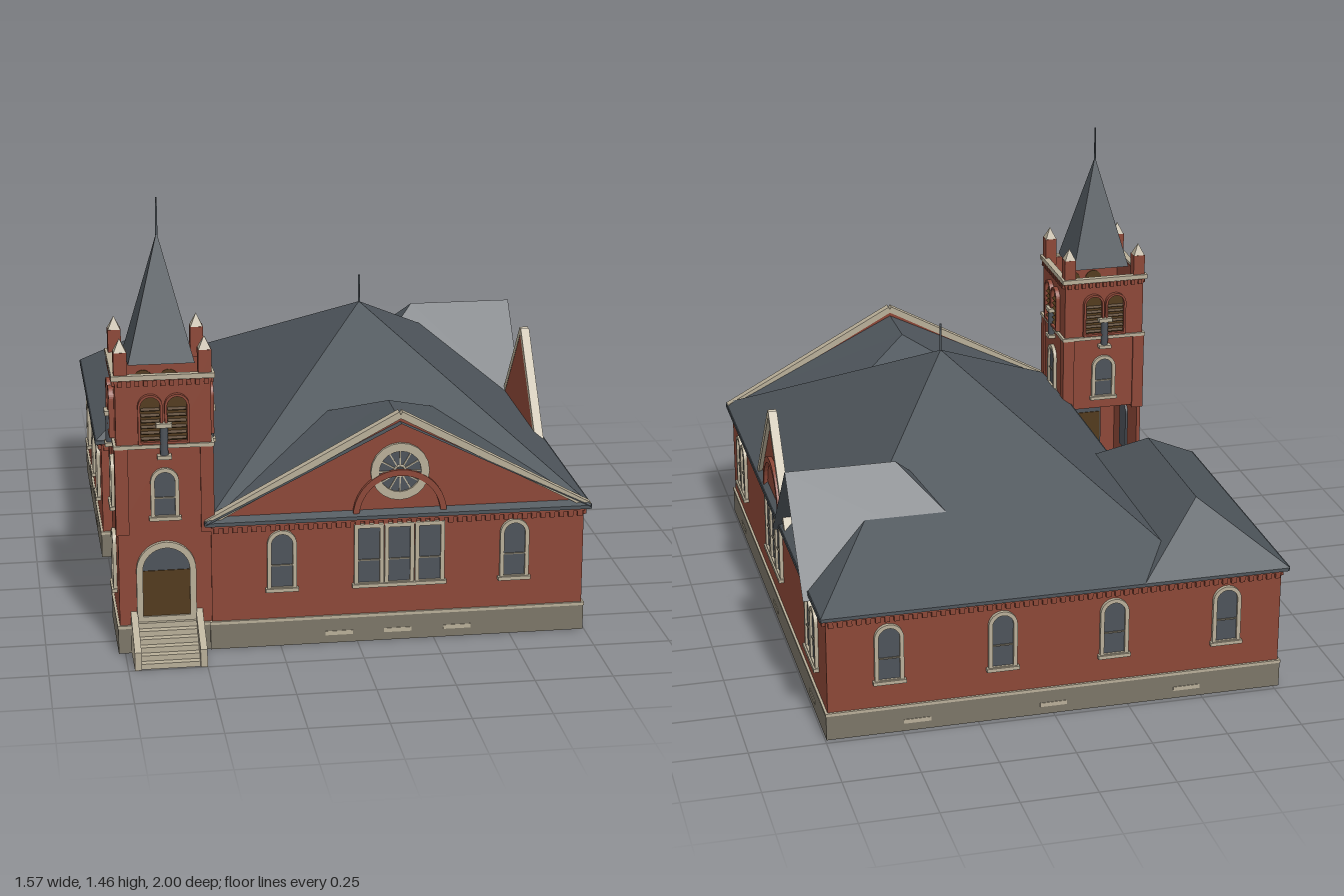
import * as THREE from 'three';
import { mergeGeometries } from 'three/addons/utils/BufferGeometryUtils.js';

const mat = (name, color, side = THREE.FrontSide) => {
  const m = new THREE.MeshStandardMaterial({ color, side });
  m.name = name;
  return m;
};
const M = {
  brick: mat('brick', 0x8c4737),
  roof: mat('slate roof', 0x4e555b, THREE.DoubleSide),
  trim: mat('limestone trim', 0xb8ae98),
  base: mat('foundation stone', 0x7b7567),
  glass: mat('window glass', 0x4d535a),
  wood: mat('door wood', 0x523a1c),
};
const add = (parent, name, geo, m) => {
  const mesh = new THREE.Mesh(geo, m);
  mesh.name = name;
  parent.add(mesh);
  return mesh;
};
const boxGeo = (w, h, d, x, y, z) => new THREE.BoxGeometry(w, h, d).translate(x, y, z);
const box = (p, name, m, w, h, d, x, y, z) => add(p, name, boxGeo(w, h, d, x, y, z), m);
const extrude = (shape, depth, z = 0) =>
  new THREE.ExtrudeGeometry(shape, { depth, bevelEnabled: false, curveSegments: 10 }).translate(0, 0, z);

// Outline of an opening: round or square head, standing on y = b
function opening(C, w, h, b = 0, round = true) {
  const s = new C(), r = w / 2;
  s.moveTo(-r, b);
  s.lineTo(r, b);
  if (round) {
    s.lineTo(r, h - r);
    s.absarc(0, h - r, r, 0, Math.PI, false);
  } else {
    s.lineTo(r, h);
    s.lineTo(-r, h);
  }
  s.closePath();
  return s;
}
function frameGeo(w, h, t, depth, round = true) {
  const s = opening(THREE.Shape, w, h, 0, round);
  s.holes.push(opening(THREE.Path, w - 2 * t, h - t, t, round));
  return extrude(s, depth);
}
// Window facing local +z, bottom centre at the origin
function windowUnit(w, h, round = true) {
  const g = new THREE.Group(), t = 0.013;
  g.name = 'window';
  add(g, 'windowFrame', frameGeo(w, h, t, 0.012, round), M.trim);
  add(g, 'windowGlass', extrude(opening(THREE.Shape, w - t, h - t / 2, t / 2, round), 0.026, -0.022), M.glass);
  box(g, 'windowRail', M.base, w - 2 * t, 0.005, 0.008, 0, h * 0.42, 0.004);
  box(g, 'windowSill', M.trim, w + 0.012, 0.012, 0.02, 0, 0.004, 0.008);
  return g;
}
const put = (p, g, x, y, z, ry) => {
  g.position.set(x, y, z);
  g.rotation.y = ry;
  p.add(g);
  return g;
};
// Flat polygons fanned into one surface
function surface(polys) {
  const v = [];
  for (const q of polys)
    for (let i = 1; i < q.length - 1; i++) v.push(...q[0], ...q[i], ...q[i + 1]);
  const g = new THREE.BufferGeometry();
  g.setAttribute('position', new THREE.Float32BufferAttribute(v, 3));
  g.computeVertexNormals();
  return g;
}
const X0 = -0.47, X1 = 0.74, Z0 = -0.975, Z1 = 0.855, WX = -0.765, WZ = -0.02, CX = 0.135;

// Straight wall facing local +z, running from a to b with the outside on its right
function wallRun(p, [ax, az], [bx, bz]) {
  const len = Math.hypot(bx - ax, bz - az);
  const g = new THREE.Group();
  g.name = 'wall';
  box(g, 'brickWall', M.brick, len, 0.43, 0.016, 0, 0.215, -0.008);
  box(g, 'foundation', M.base, len + 0.012, 0.085, 0.008, 0, 0.0425, 0.002);
  box(g, 'waterTable', M.trim, len + 0.016, 0.01, 0.012, 0, 0.089, 0.002);
  box(g, 'eaveGutter', M.roof, len + 0.036, 0.014, 0.024, 0, 0.429, 0.01);
  const teeth = [], n = Math.floor(len / 0.03);
  for (let i = 0; i < n; i++)
    teeth.push(boxGeo(0.016, 0.018, 0.012, ((i + 0.5) / n - 0.5) * len, 0.404, 0.005));
  teeth.push(boxGeo(len, 0.01, 0.014, 0, 0.418, 0.005));
  add(g, 'brickDentils', mergeGeometries(teeth), M.brick);
  return put(p, g, (ax + bx) / 2, 0, (az + bz) / 2, Math.atan2(-(bz - az), bx - ax));
}
// Triangular brick parapet with stone coping, facing local +z
function gable(p, half, rise) {
  const g = new THREE.Group();
  g.name = 'gable';
  const s = new THREE.Shape([new THREE.Vector2(-half, 0), new THREE.Vector2(half, 0), new THREE.Vector2(0, rise)]);
  add(g, 'gableWall', extrude(s, 0.016, -0.016), M.brick);
  for (const k of [-1, 1]) {
    const c = box(g, 'gableCoping', M.trim, Math.hypot(half, rise), 0.022, 0.03, 0, 0, 0);
    c.position.set(k * half / 2, rise / 2, -0.002);
    c.rotation.z = -k * Math.atan2(rise, half);
  }
  const arch = new THREE.Shape();
  arch.absarc(0, 0, 0.152, 0, Math.PI, false);
  arch.absarc(0, 0, 0.132, Math.PI, 0, true);
  add(g, 'reliefArch', extrude(arch, 0.014), M.brick);
  p.add(g);
  return g;
}
function roseWindow() {
  const g = new THREE.Group();
  g.name = 'roseWindow';
  const ring = new THREE.Shape().absarc(0, 0, 0.095, 0, Math.PI * 2, false);
  ring.holes.push(new THREE.Path().absarc(0, 0, 0.068, 0, Math.PI * 2, true));
  add(g, 'roseRing', extrude(ring, 0.011), M.trim);
  add(g, 'roseGlass', new THREE.CylinderGeometry(0.07, 0.07, 0.026, 24).rotateX(Math.PI / 2).translate(0, 0, -0.009), M.glass);
  for (let i = 0; i < 12; i++)
    add(g, 'roseSpoke', boxGeo(0.05, 0.004, 0.008, 0.042, 0, 0.004).rotateZ(i * Math.PI / 6), M.trim);
  add(g, 'roseHub', new THREE.TorusGeometry(0.018, 0.004, 6, 16).translate(0, 0, 0.004), M.trim);
  return g;
}
function door(w, h) {
  const g = new THREE.Group();
  g.name = 'door';
  add(g, 'doorFrame', frameGeo(w, h, 0.02, 0.014), M.trim);
  add(g, 'transomGlass', extrude(opening(THREE.Shape, w - 0.03, h - 0.015, 0.01), 0.024, -0.02), M.glass);
  box(g, 'doorLeaves', M.wood, w - 0.04, h * 0.64, 0.03, 0, h * 0.32, -0.008);
  return g;
}

function buildBody(root) {
  const body = new THREE.Group();
  body.name = 'hall';
  root.add(body);
  const pts = [[X0, Z1], [X1, Z1], [X1, Z0], [WX, Z0], [WX, WZ], [X0, WZ]];
  pts.forEach((a, i) => wallRun(body, a, pts[(i + 1) % 6]));
  const H = Math.PI / 2, win = (x, y, z, ry, w = 0.095, h = 0.205, r = true) => put(body, windowUnit(w, h, r), x, y, z, ry);
  // Front and right windows
  for (const x of [-0.245, 0.512]) win(x, 0.19, Z1, 0);
  for (const k of [-1, 0, 1]) {
    win(CX + k * 0.099, 0.19, Z1, 0, 0.096, 0.212, false);
    win(X1, 0.195, -0.06 + k * 0.099, H, 0.096, 0.22, false);
  }
  for (const z of [0.67, 0.58, -0.705, -0.795]) win(X1, 0.175, z, H, 0.09);
  // Back, wing and left windows
  for (const x of [0.54, 0.17, -0.2, -0.58]) win(x, 0.18, Z0, Math.PI);
  for (const z of [-0.735, -0.42, -0.16]) win(WX, 0.18, z, -H);
  win(-0.615, 0.18, WZ, 0);
  win(X0, 0.18, 0.48, -H);
  put(body, door(0.12, 0.25), X0, 0.09, 0.28, -H);
  // Basement vents
  const vent = (x, z, ry) => put(body, box(body, 'basementVent', M.trim, 0.09, 0.014, 0.008, 0, 0, 0), x, 0.034, z, ry);
  for (const x of [-0.06, 0.132, 0.327]) vent(x, Z1 + 0.004, 0);
  for (const z of [0.625, -0.065, -0.745]) vent(X1 + 0.004, z, H);
  for (const x of [0.45, 0.0, -0.45]) vent(x, Z0 - 0.004, Math.PI);
  for (const z of [-0.65, -0.3]) vent(WX - 0.004, z, -H);
  // Gables
  const front = gable(body, 0.62, 0.335);
  front.position.set(CX, 0.43, Z1);
  put(front, roseWindow(), 0, 0.145, 0, 0);
  const side = gable(body, 0.265, 0.325);
  side.position.set(X1, 0.435, -0.06);
  side.rotation.y = H;
}

function buildRoof(root) {
  const g = new THREE.Group();
  g.name = 'roofs';
  root.add(g);
  const E = 0.435, A = [CX, 0.905, 0.01];
  const c = [[-0.49, E, 0.88], [0.76, E, 0.88], [0.76, E, -1], [-0.49, E, -1]];
  add(g, 'mainRoof', surface(c.map((q, i) => [q, c[(i + 1) % 4], A])), M.roof);
  add(g, 'mainFinial', new THREE.CylinderGeometry(0.004, 0.004, 0.1, 6).translate(CX, 0.95, 0.01), M.roof);
  // Wing hip
  const [a, b, d, e] = [[-0.785, E, 0], [-0.295, E, 0], [-0.295, E, -1], [-0.785, E, -1]];
  const r1 = [-0.54, 0.61, -0.24], r2 = [-0.54, 0.61, -0.76];
  add(g, 'wingRoof', surface([[a, b, r1], [b, d, r2, r1], [d, e, r2], [e, a, r1, r2]]), M.roof);
  // Cross roofs, open at the outer end and hipped into the main roof
  const f = [CX, 0.74, 0.885], k = [CX, 0.74, 0.63], L = 0.465, B = 0.66;
  const hl = [-0.04, B, L], hr = [0.31, B, L];
  add(g, 'frontCrossRoof', surface([[[0.76, 0.43, 0.885], f, k, hr], [[-0.49, 0.43, 0.885], hl, k, f], [hl, hr, k]]), M.roof);
  const y = 0.41, s1 = [0.78, 0.74, -0.53], s2 = [0.415, 0.74, -0.53];
  const p = [[0.78, y, -0.245], [0.09, y, -0.245], [0.09, y, -0.81], [0.78, y, -0.81]];
  add(g, 'sideCrossRoof', surface([[p[0], s1, s2, p[1]], [p[1], s2, p[2]], [p[2], s2, s1, p[3]]]), M.roof);
}

function buildTower(root) {
  const t = new THREE.Group();
  t.name = 'tower';
  t.position.set(-0.615, 0, 0.7);
  root.add(t);
  const R = 0.15;
  for (let i = 0; i < 4; i++) {
    const g = new THREE.Group();
    g.name = 'towerSide';
    g.rotation.y = i * Math.PI / 2;
    t.add(g);
    box(g, 'towerUpperWall', M.brick, 2 * R, 0.51, 0.014, 0, 0.665, R - 0.007);
    // Belfry openings with louvres
    for (const x of [-0.042, 0.042]) {
      add(g, 'belfryArch', frameGeo(0.078, 0.162, 0.008, 0.016).translate(x, 0.702, R), M.brick);
      add(g, 'belfryOpening', extrude(opening(THREE.Shape, 0.064, 0.152), 0.02, -0.017).translate(x, 0.704, R), M.wood);
      for (let k = 0; k < 6; k++)
        add(g, 'louvre', boxGeo(0.058, 0.004, 0.014, 0, 0, 0).rotateX(0.6).translate(x, 0.72 + k * 0.019, R + 0.005), M.wood);
    }
    add(g, 'colonnette', new THREE.CylinderGeometry(0.013, 0.013, 0.11, 10).translate(0, 0.71, R + 0.01), M.glass);
    box(g, 'colonnetteCap', M.trim, 0.05, 0.014, 0.03, 0, 0.765, R + 0.012);
    box(g, 'colonnetteCorbel', M.trim, 0.045, 0.012, 0.03, 0, 0.66, R + 0.012);
    box(g, 'beltCourse', M.trim, 2 * R + 0.014, 0.012, 0.018, 0, 0.692, R);
    box(g, 'cornice', M.trim, 2 * R + 0.024, 0.016, 0.022, 0, 0.919, R);
    const teeth = [];
    for (let k = 0; k < 11; k++) teeth.push(boxGeo(0.014, 0.018, 0.012, (k - 5) * 0.027, 0.9, R + 0.004));
    add(g, 'towerDentils', mergeGeometries(teeth), M.brick);
    put(g, windowUnit(0.09, 0.17), 0, 0.45, R, 0);
    // Corner pilaster, post and cap
    box(g, 'pilaster', M.brick, 0.042, 0.285, 0.042, R - 0.015, 0.5425, R - 0.015);
    box(g, 'cornerPost', M.brick, 0.042, 0.1, 0.042, R - 0.018, 0.95, R - 0.018);
    add(g, 'postCap', new THREE.ConeGeometry(0.028, 0.042, 4).rotateY(Math.PI / 4).toNonIndexed().translate(R - 0.018, 1.021, R - 0.018), M.trim).geometry.computeVertexNormals();
    // Lower walls only on the front and left
    if (i === 0 || i === 3) {
      box(g, 'towerLowerWall', M.brick, 2 * R, 0.42, 0.014, 0, 0.21, R - 0.007);
      box(g, 'towerFoundation', M.base, 2 * R + 0.012, 0.085, 0.008, 0, 0.0425, R + 0.002);
      box(g, 'towerWaterTable', M.trim, 2 * R + 0.016, 0.01, 0.012, 0, 0.089, R + 0.002);
      if (i === 0) put(g, door(0.19, 0.27), 0, 0.105, R, 0);
      else put(g, windowUnit(0.09, 0.2), 0, 0.17, R, 0);
    }
  }
  // Spire
  const spire = new THREE.ConeGeometry(0.105 * Math.SQRT2, 0.4, 4, 1, true).rotateY(Math.PI / 4).toNonIndexed();
  spire.computeVertexNormals();
  add(t, 'spire', spire.translate(0, 1.145, 0), M.roof);
  add(t, 'spireRod', new THREE.CylinderGeometry(0.003, 0.004, 0.12, 6).translate(0, 1.395, 0), M.roof);
  // Entrance steps with sloping side walls
  const steps = new THREE.Group();
  steps.name = 'entranceSteps';
  t.add(steps);
  for (let i = 0; i < 6; i++)
    box(steps, 'step', M.trim, 0.2, 0.018 * (6 - i), 0.024, 0, 0.009 * (6 - i), R + 0.014 + i * 0.0235);
  const s = new THREE.Shape([[0, 0], [0.15, 0], [0.15, 0.06], [0, 0.14]].map(q => new THREE.Vector2(...q)));
  for (const x of [-0.115, 0.093])
    add(steps, 'stepSideWall', extrude(s, 0.022).rotateY(-Math.PI / 2).translate(x + 0.022, 0, R), M.trim);
}

export function createModel() {
  const root = new THREE.Group();
  root.name = 'church';
  buildBody(root);
  buildRoof(root);
  buildTower(root);
  return root;
}
